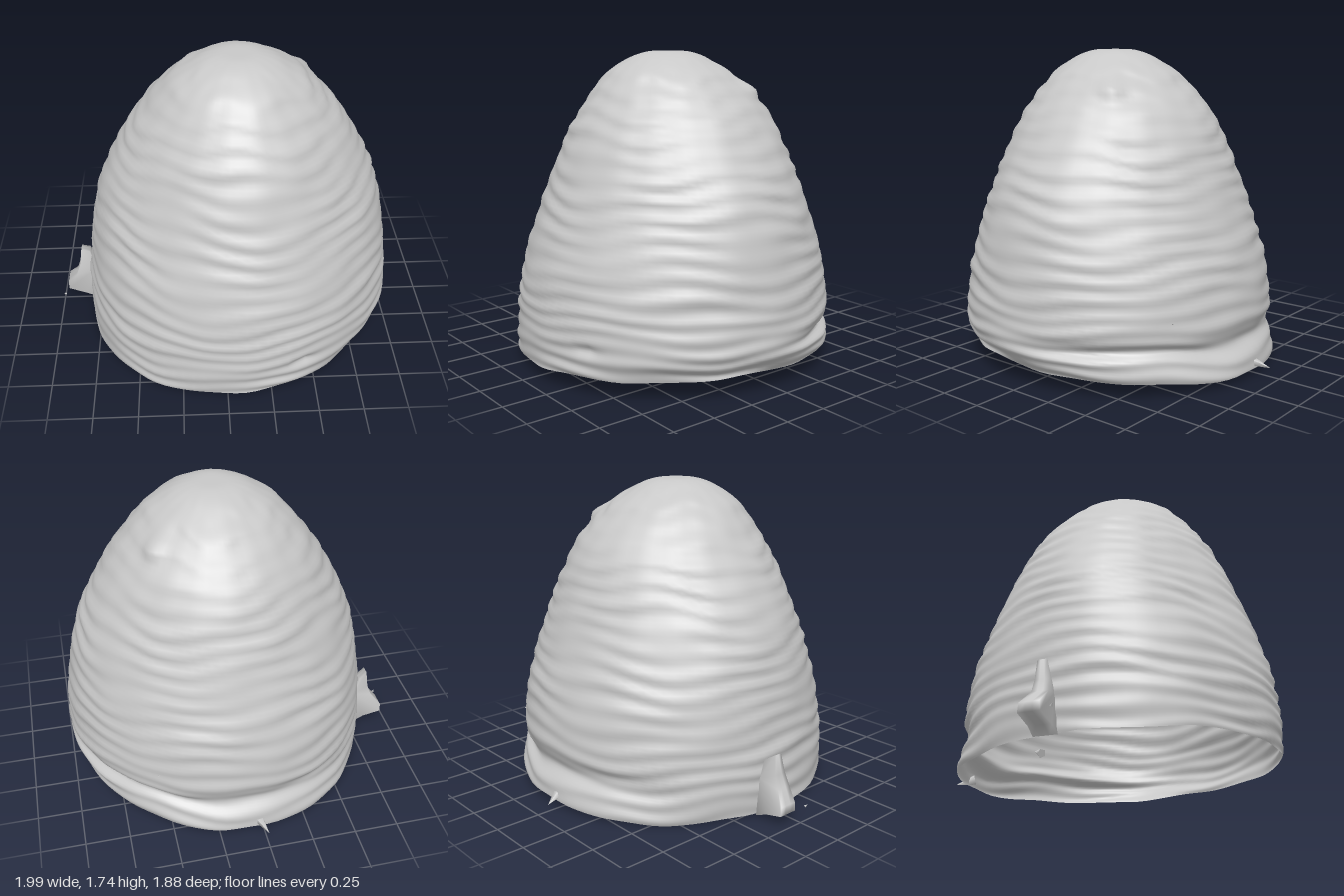
import * as THREE from 'three';
import { mergeVertices } from 'three/addons/utils/BufferGeometryUtils.js';

const straw = new THREE.MeshStandardMaterial({ color: 0xc8c8c8, side: THREE.DoubleSide });
straw.name = 'grey straw';

const CENTRE = { x: 0.097, z: 0.045 };
const bell = (v, mid, width) => Math.exp(-(((v - mid) / width) ** 2));

// Drop seams so the surface shades smoothly
function smooth(geometry) {
  geometry.deleteAttribute('uv');
  geometry.deleteAttribute('normal');
  const merged = mergeVertices(geometry, 1e-4);
  merged.computeVertexNormals();
  return merged;
}

// Open dome with worn, broken coils, a tilted rim and a flared lip at the back
function domeGeometry() {
  const profile = [
    [0.882, 0], [0.888, 0.12], [0.888, 0.25], [0.88, 0.42], [0.858, 0.6], [0.812, 0.8], [0.75, 1.0],
    [0.665, 1.2], [0.555, 1.4], [0.385, 1.6], [0.24, 1.7], [0.12, 1.745], [0, 1.75],
  ].map(([r, y]) => new THREE.Vector2(r, y));
  const points = new THREE.SplineCurve(profile).getPoints(108);
  points.forEach((p) => { p.x = Math.max(p.x, 0); });
  points[points.length - 1].set(0, 1.75);
  const geometry = new THREE.LatheGeometry(points, 96);
  const pos = geometry.attributes.position;

  for (let i = 0; i < pos.count; i++) {
    let y = pos.getY(i);
    const r = Math.hypot(pos.getX(i), pos.getZ(i));
    const a = Math.atan2(pos.getZ(i), pos.getX(i));
    const cx = Math.cos(a), cz = Math.sin(a);

    // Soft coils whose strength comes and goes, plus shallow lumps
    const coil = y / 0.1 + 0.25 * Math.sin(3 * a + y * 4) + 0.15 * Math.sin(7 * a - y * 9);
    const wear = 0.6 + 0.4 * Math.sin(4 * a + 5 * y) * Math.sin(3 * a - 8 * y + 1);
    let d = 0.008 * wear * Math.sin(2 * Math.PI * coil);
    d += 0.004 * Math.sin(5 * a + 11 * y) * Math.sin(9 * y + 2 * a);
    d += 0.003 * Math.sin(13 * a + 17 * y) * Math.cos(8 * a - 15 * y);

    // Slightly flattened corners: all of them at mid height, front left throughout
    d -= 0.022 * Math.sin(2 * a) ** 2 * bell(y, 1.05, 0.4);
    d -= 0.015 * bell(a, Math.PI / 4, 0.5);
    d += 0.015 * bell(a, Math.PI * 0.75, 0.5) * bell(y, 0, 0.3);
    d *= Math.min(1, r / 0.4);

    // Pinched groove above a flared lip, strongest at the back
    const back = THREE.MathUtils.smoothstep(cx * 0.35 - cz * 0.94, 0.2, 0.85);
    d += back * (0.035 * bell(y, 0.02, 0.08) - 0.04 * bell(y, 0.2, 0.05));
    // Rim tucks inward on the left side and spreads a little on the right
    d -= 0.075 * Math.max(0, cx) ** 2 * bell(y, 0, 0.09);
    d += 0.012 * cx ** 2 * bell(y, 0.1, 0.4);
    // Knot high on the left shoulder, dimple low on the front
    d += 0.04 * bell(a, -0.64, 0.15) * bell(y, 1.55, 0.06);
    d -= 0.02 * bell(a, 1.2, 0.06) * bell(y, 0.2, 0.04);

    // Oval at mid height, crown leaning gently forward
    const oval = 0.04 * bell(y, 1, 0.35);
    const lean = THREE.MathUtils.smoothstep(y, 1.4, 1.7);
    const x = CENTRE.x - 0.01 * lean + cx * (r + d) * (1 + oval);
    const z = CENTRE.z + 0.03 * lean + cz * (r + d) * (1 - oval);

    // Tilt the rim, blending out higher up
    const low = Math.max(0, 1 - y / 0.45);
    y += low * (0.062 + 0.06 * x + 0.025 * z + 0.004 * Math.sin(6 * a) + 0.004 * Math.sin(11 * a));
    pos.setXYZ(i, x, y, z);
  }
  return smooth(geometry);
}

// Crumpled tab sticking out low on the right side
function tabGeometry() {
  const outline = [
    [-0.79, 0.01], [-0.86, 0.04], [-0.97, 0.07], [-0.97, 0.12], [-0.91, 0.19],
    [-0.885, 0.26], [-0.87, 0.37], [-0.82, 0.34], [-0.79, 0.22],
  ].map(([x, y]) => new THREE.Vector2(x, y));
  const geometry = new THREE.ExtrudeGeometry(new THREE.Shape(outline), {
    depth: 0.13, steps: 3, bevelEnabled: false,
  });
  const pos = geometry.attributes.position;
  for (let i = 0; i < pos.count; i++) {
    // Thin towards the top, thick at the outer foot
    const width = 1 - 0.6 * Math.min(1, pos.getY(i) / 0.37);
    const z = (pos.getZ(i) - 0.065) * width - 0.055;
    pos.setZ(i, z + 0.015 * Math.sin(pos.getX(i) * 40));
  }
  return smooth(geometry);
}

// Thin torn strand pointing from one place to another
function strand(name, from, to, radius) {
  const a = new THREE.Vector3(...from), b = new THREE.Vector3(...to);
  const dir = b.clone().sub(a);
  const mesh = new THREE.Mesh(new THREE.ConeGeometry(radius, dir.length(), 5), straw);
  mesh.position.copy(a).add(b).multiplyScalar(0.5);
  mesh.quaternion.setFromUnitVectors(new THREE.Vector3(0, 1, 0), dir.normalize());
  mesh.name = name;
  return mesh;
}

export function createModel() {
  const group = new THREE.Group();
  group.name = 'strawHive';

  const dome = new THREE.Mesh(domeGeometry(), straw);
  dome.name = 'coiledDome';
  const tab = new THREE.Mesh(tabGeometry(), straw);
  tab.name = 'sideTab';

  group.add(
    dome,
    tab,
    strand('backStrand', [0.03, 0.08, -0.84], [-0.01, 0.05, -0.94], 0.03),
    strand('cornerStrand', [0.5, 0.36, -0.63], [0.57, 0.4, -0.71], 0.03),
    strand('looseScrap', [-0.985, 0.08, 0.05], [-0.995, 0.09, 0.06], 0.008),
  );
  return group;
}
